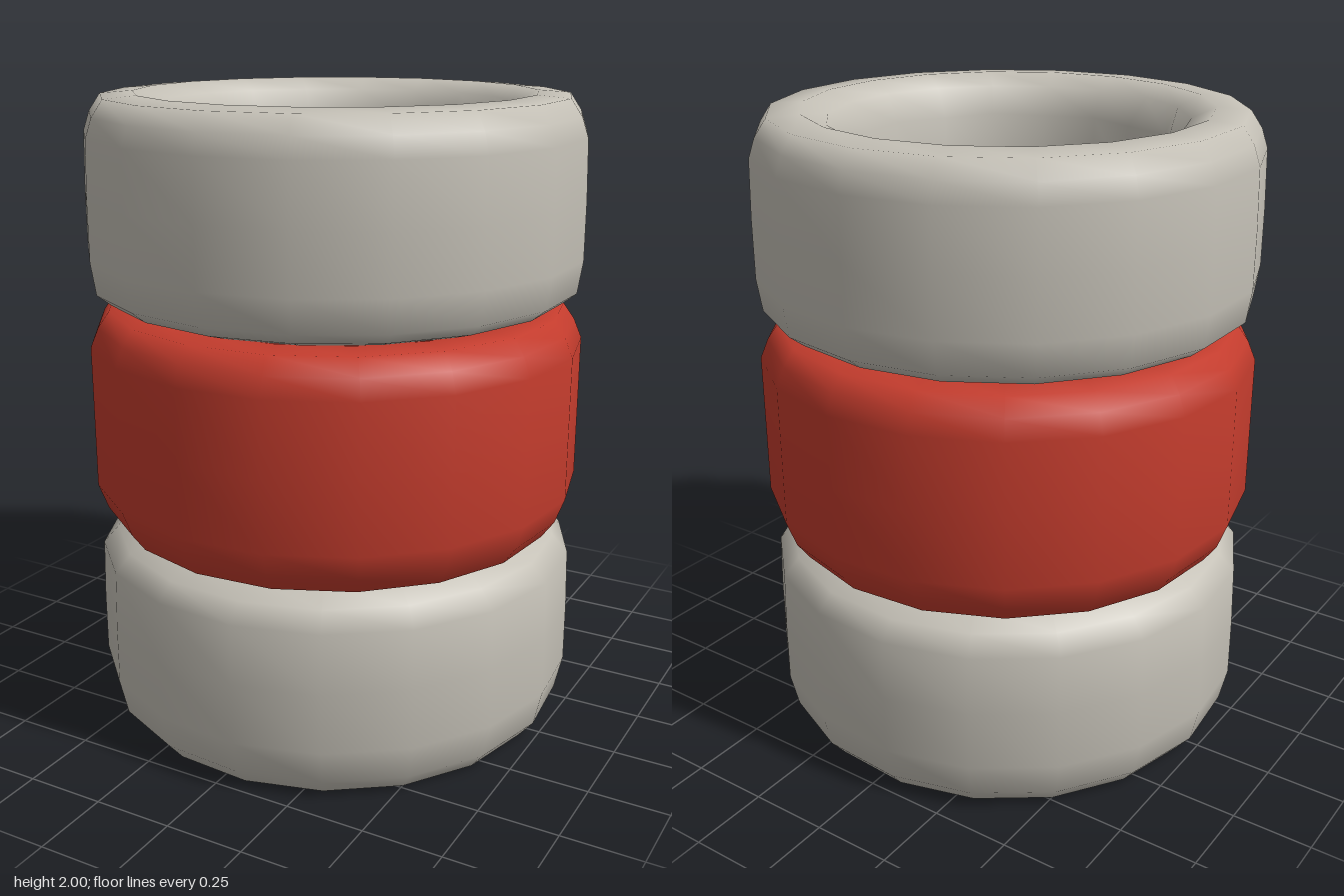
import * as THREE from 'three';

const SEGMENTS = 18;

export function createModel() {
  const group = new THREE.Group();
  group.name = 'tyreStack';

  const grey = new THREE.MeshStandardMaterial({ color: 0xc4c0b6 });
  grey.name = 'pale grey';
  const red = new THREE.MeshStandardMaterial({ color: 0xc43c2d });
  red.name = 'red';
  const dark = new THREE.MeshStandardMaterial({ color: 0x625b4f, side: THREE.DoubleSide });
  dark.name = 'dark brown grey';

  // Rubber shell: outer profile, rounded crest, then down the inner wall
  function tyreGeometry(outer, top, bottom) {
    const profile = [
      ...outer,
      [0.62, top], [0.545, top - 0.035], [0.505, top - 0.12],
      [0.495, top - 0.3], [0.49, bottom],
    ].map(([r, y]) => new THREE.Vector2(r, y));
    const geo = new THREE.LatheGeometry(profile, SEGMENTS);
    // Pull every second inner vertex onto the chord, so the hole has half as many sides
    const pos = geo.attributes.position;
    const chord = Math.cos((Math.PI * 2) / SEGMENTS);
    for (let i = 0; i < pos.count; i++) {
      const column = Math.floor(i / profile.length);
      if (column % 2 === 1 && Math.hypot(pos.getX(i), pos.getZ(i)) < 0.51) {
        pos.setX(i, pos.getX(i) * chord);
        pos.setZ(i, pos.getZ(i) * chord);
      }
    }
    return geo;
  }

  const tyres = [
    { name: 'bottomTyre', material: grey, bottom: 0, top: 0.65, turn: 0.1,
      outer: [[0.7, 0], [0.75, 0.06], [0.775, 0.17], [0.775, 0.36], [0.77, 0.55], [0.72, 0.605], [0.65, 0.645]] },
    { name: 'middleTyre', material: red, bottom: 0.655, top: 1.355, turn: 0.24,
      outer: [[0.71, 0.655], [0.75, 0.71], [0.78, 0.79], [0.78, 1.01], [0.78, 1.24], [0.755, 1.3], [0.72, 1.35]] },
    { name: 'topTyre', material: grey, bottom: 1.36, top: 2, turn: 0,
      outer: [[0.64, 1.36], [0.72, 1.385], [0.765, 1.42], [0.78, 1.52], [0.78, 1.7], [0.775, 1.88], [0.755, 1.94], [0.72, 1.992]] },
  ];

  for (const t of tyres) {
    const tyre = new THREE.Group();
    tyre.name = t.name;
    tyre.rotation.y = t.turn;

    const shell = new THREE.Mesh(tyreGeometry(t.outer, t.top, t.bottom), t.material);
    shell.name = t.name + 'Shell';
    tyre.add(shell);

    // Flat base closing the underside, also seen as the floor of the hole
    const base = new THREE.Mesh(new THREE.CircleGeometry(t.outer[0][0], SEGMENTS), dark);
    base.name = t.name + 'Base';
    base.rotation.set(Math.PI / 2, 0, Math.PI / 2);
    base.position.y = t.bottom;
    tyre.add(base);

    group.add(tyre);
  }
  return group;
}
